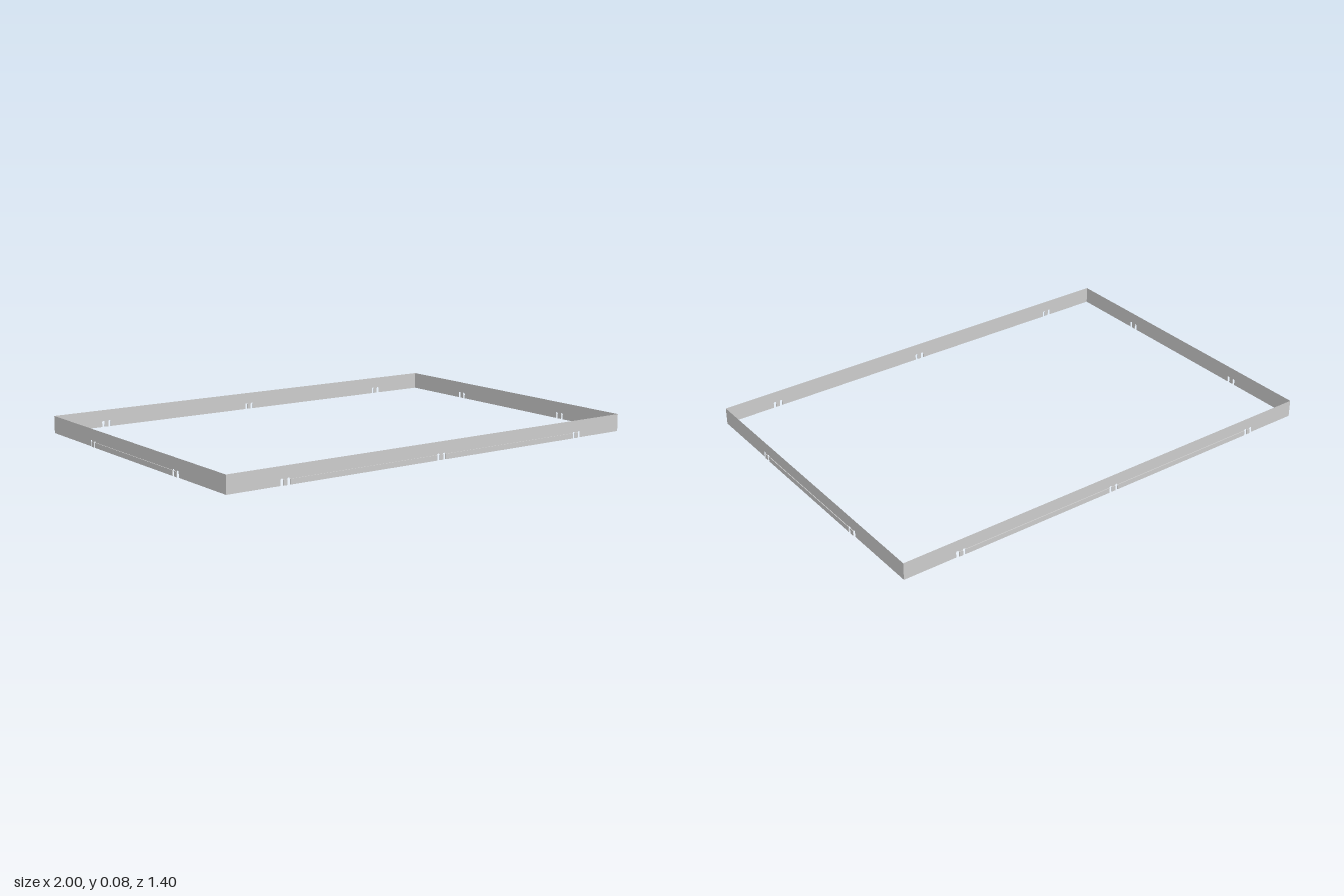
import * as THREE from 'three';

const HEIGHT = 0.075, SLOT_W = 0.012, SLOT_H = 0.027;
const LIP_H = 0.022, LIP_D = 0.003;
const HALF_X = 0.997, HALF_Z = 0.697;

const material = new THREE.MeshStandardMaterial({ color: 0xcccccc, side: THREE.DoubleSide });

// One thin wall facing +z, with round-topped slots along its lower edge
// and a shallow raised lip running between the outermost slots.
function makeWall(name, halfLength, pairCentres, halfGap) {
  const wall = new THREE.Group();
  wall.name = name;
  const slots = pairCentres.flatMap((c) => [c - halfGap, c + halfGap]);
  const r = SLOT_W / 2;

  const shape = new THREE.Shape();
  shape.moveTo(-halfLength, 0);
  for (const s of slots) {
    shape.lineTo(s - r, 0);
    shape.lineTo(s - r, SLOT_H - r);
    shape.absarc(s, SLOT_H - r, r, Math.PI, 0, true);
    shape.lineTo(s + r, 0);
  }
  shape.lineTo(halfLength, 0);
  shape.lineTo(halfLength, HEIGHT);
  shape.lineTo(-halfLength, HEIGHT);
  shape.closePath();
  const panel = new THREE.Mesh(new THREE.ShapeGeometry(shape, 8), material);
  panel.name = 'wallPanel';
  wall.add(panel);

  // lip segments, interrupted by the slots
  for (let i = 0; i < slots.length - 1; i++) {
    const a = slots[i] + r, b = slots[i + 1] - r;
    const lip = new THREE.Mesh(new THREE.BoxGeometry(b - a, LIP_H, LIP_D), material);
    lip.name = 'lowerLip';
    lip.position.set((a + b) / 2, LIP_H / 2, LIP_D / 2);
    wall.add(lip);
  }
  return wall;
}

export function createModel() {
  const frame = new THREE.Group();
  frame.name = 'rectangularFrame';

  // long walls: the back is the front turned half round
  const longPairs = [-0.742, 0.003, 0.748];
  const front = makeWall('frontWall', HALF_X, longPairs, 0.015);
  front.position.z = HALF_Z;
  const back = makeWall('backWall', HALF_X, longPairs, 0.015);
  back.position.z = -HALF_Z;
  back.rotation.y = Math.PI;

  // short walls: slots line up across the frame
  const left = makeWall('leftWall', HALF_Z, [-0.34, 0.335], 0.016);
  left.position.x = HALF_X;
  left.rotation.y = Math.PI / 2;
  const right = makeWall('rightWall', HALF_Z, [-0.335, 0.34], 0.016);
  right.position.x = -HALF_X;
  right.rotation.y = -Math.PI / 2;

  frame.add(front, back, left, right);
  return frame;
}
